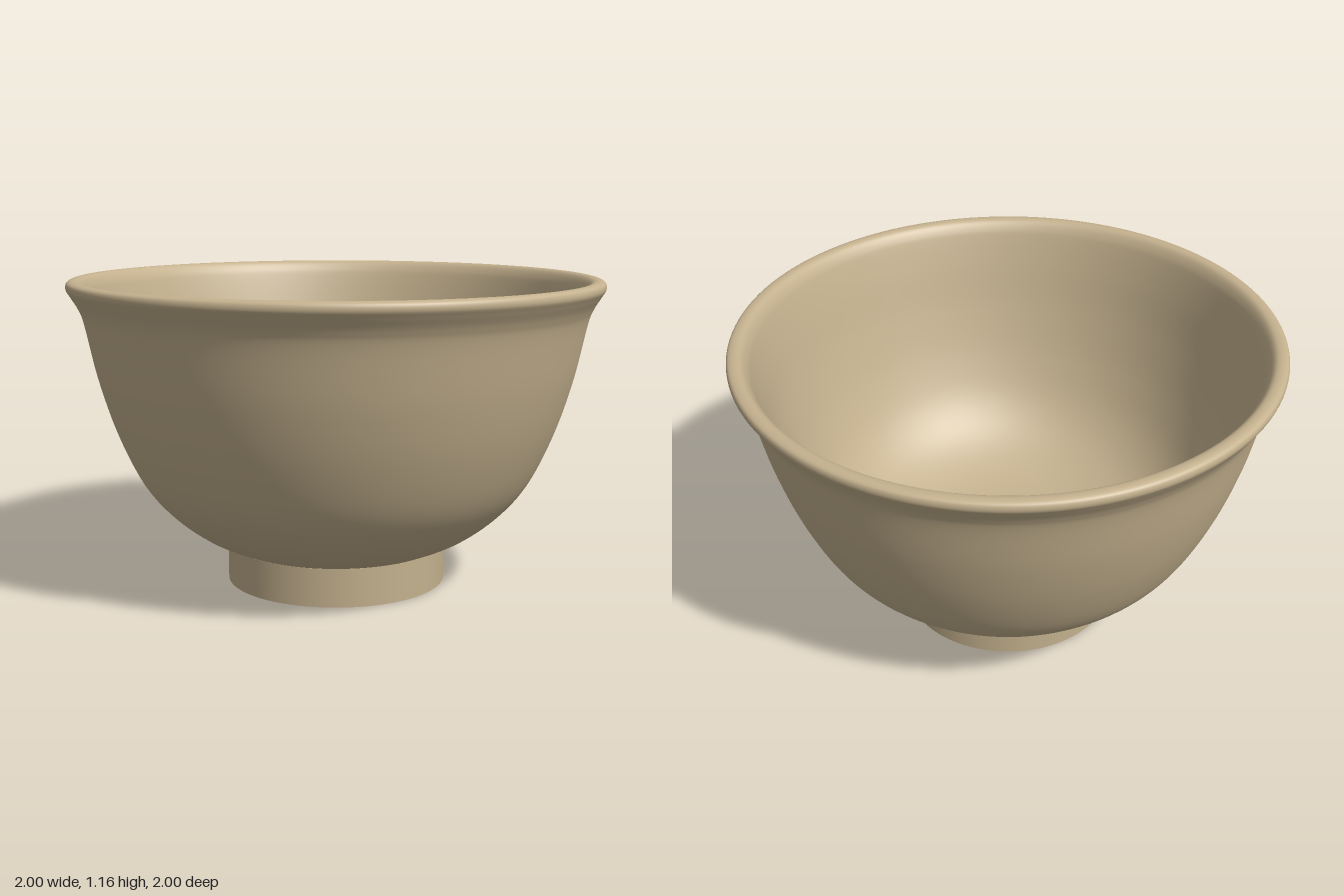
import * as THREE from 'three';

const SEGMENTS = 128;

const clay = new THREE.MeshStandardMaterial({ color: 0xc4b18e });
clay.name = 'clay';

const toPoints = (pairs) => pairs.map(([x, y]) => new THREE.Vector2(x, y));

// Smooth curve through a few profile points
const smooth = (pairs, steps) => new THREE.SplineCurve(toPoints(pairs)).getPoints(steps);

function turned(name, points) {
  const mesh = new THREE.Mesh(new THREE.LatheGeometry(points, SEGMENTS), clay);
  mesh.name = name;
  return mesh;
}

export function createModel() {
  const bowl = new THREE.Group();
  bowl.name = 'bowl';

  // Outer wall, rolled lip and inner wall as one continuous profile
  const wall = smooth([
    [0.41, 0.142], [0.53, 0.2], [0.65, 0.295], [0.745, 0.415], [0.83, 0.6],
    [0.893, 0.8], [0.937, 1.0], [0.958, 1.06], [0.985, 1.105], [0.999, 1.13],
    [0.995, 1.152], [0.975, 1.16], [0.95, 1.155], [0.93, 1.13], [0.915, 1.09],
    [0.885, 0.98], [0.84, 0.8], [0.775, 0.6], [0.69, 0.43], [0.57, 0.31],
    [0.4, 0.235], [0.2, 0.207], [0, 0.2],
  ], 140);
  wall[wall.length - 1].x = 0;
  bowl.add(turned('bowlWall', wall));

  // Foot ring: outer side and flat standing edge
  bowl.add(turned('footSide', toPoints([[0.418, 0], [0.418, 0.145]])));
  bowl.add(turned('footEdge', toPoints([[0.376, 0], [0.418, 0]])));
  bowl.add(turned('footShoulder', toPoints([[0.418, 0.145], [0.405, 0.145]])));

  // Hollow under the foot, with a rounded corner
  const hollow = [new THREE.Vector2(0, 0.09), new THREE.Vector2(0.2, 0.09)];
  for (let i = 0; i <= 10; i++) {
    const a = (i / 10) * Math.PI / 2;
    hollow.push(new THREE.Vector2(0.32 + 0.05 * Math.sin(a), 0.04 + 0.05 * Math.cos(a)));
  }
  hollow.push(new THREE.Vector2(0.376, 0));
  bowl.add(turned('footHollow', hollow));

  return bowl;
}
